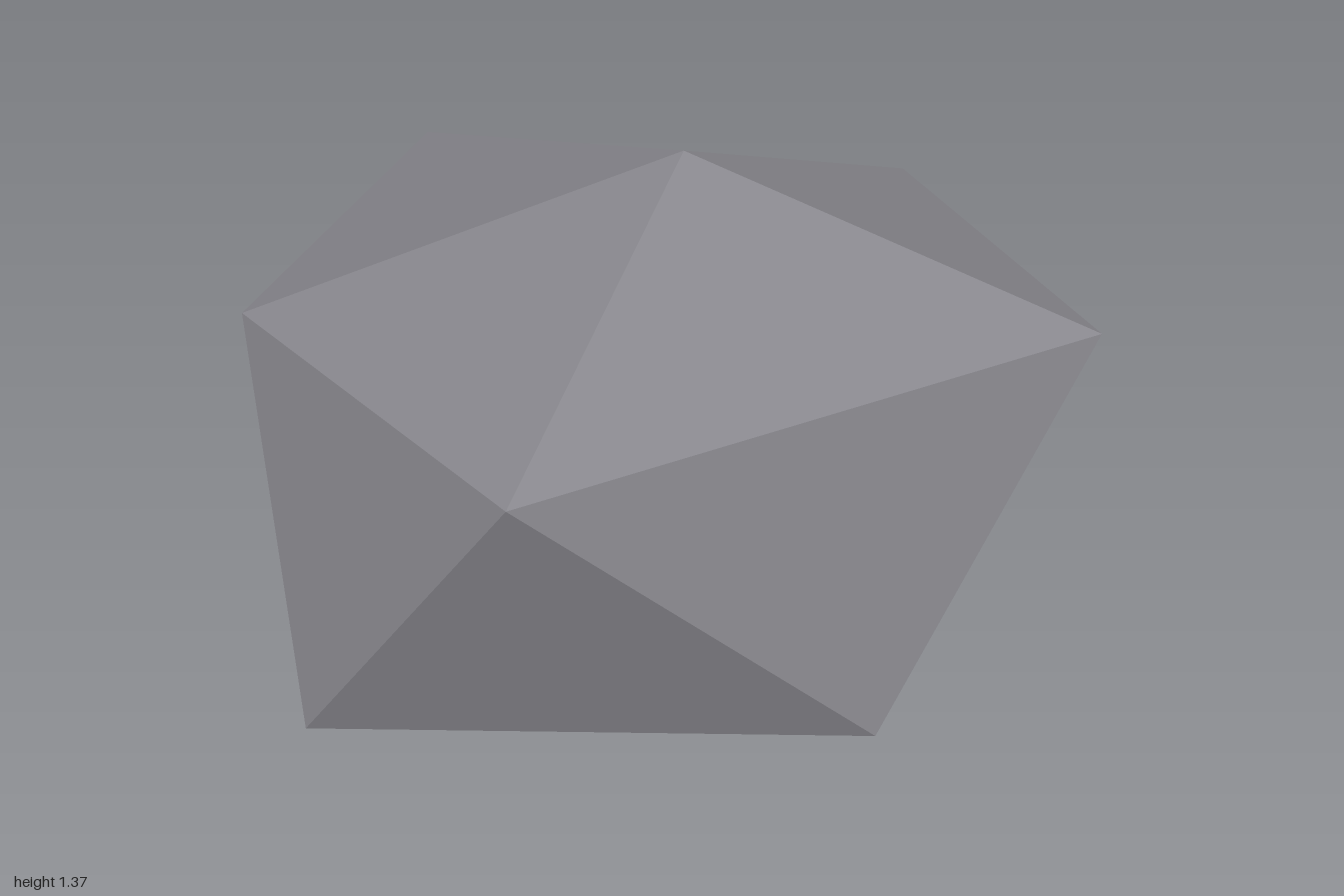
import * as THREE from 'three';

// Irregular faceted rock: a top point, two staggered five-point rings and a bottom point
export function createModel() {
  const stone = new THREE.MeshStandardMaterial({ color: 0x828187 });
  stone.name = 'stone grey';

  const top = [0.11, 1.37, 0.12];
  const upper = [
    [0.11, 0.955, 0.93], [1.0, 1.1, 0.05], [0.34, 1.06, -0.69],
    [-0.88, 1.03, -0.48], [-0.69, 1.05, 0.61],
  ];
  const lower = [
    [-0.41, 0.26, 0.92], [0.75, 0.395, 0.6], [0.7, 0.335, -0.21],
    [-0.44, 0.365, -0.93], [-1.0, 0.38, -0.01],
  ];
  const bottom = [-0.13, 0, 0.01];

  // Cap, zigzag band and underside, one slice at a time
  const positions = [];
  const face = (...corners) => positions.push(...corners.flat());
  for (let i = 0; i < 5; i++) {
    const j = (i + 1) % 5;
    face(top, upper[i], upper[j]);
    face(upper[i], lower[i], lower[j]);
    face(upper[i], lower[j], upper[j]);
    face(bottom, lower[j], lower[i]);
  }

  // Unshared corners give each facet its own flat normal
  const geometry = new THREE.BufferGeometry();
  geometry.setAttribute('position', new THREE.Float32BufferAttribute(positions, 3));
  geometry.computeVertexNormals();
  stone.flatShading = true;

  const rock = new THREE.Mesh(geometry, stone);
  rock.name = 'rock';
  const group = new THREE.Group();
  group.name = 'boulder';
  group.add(rock);
  return group;
}
